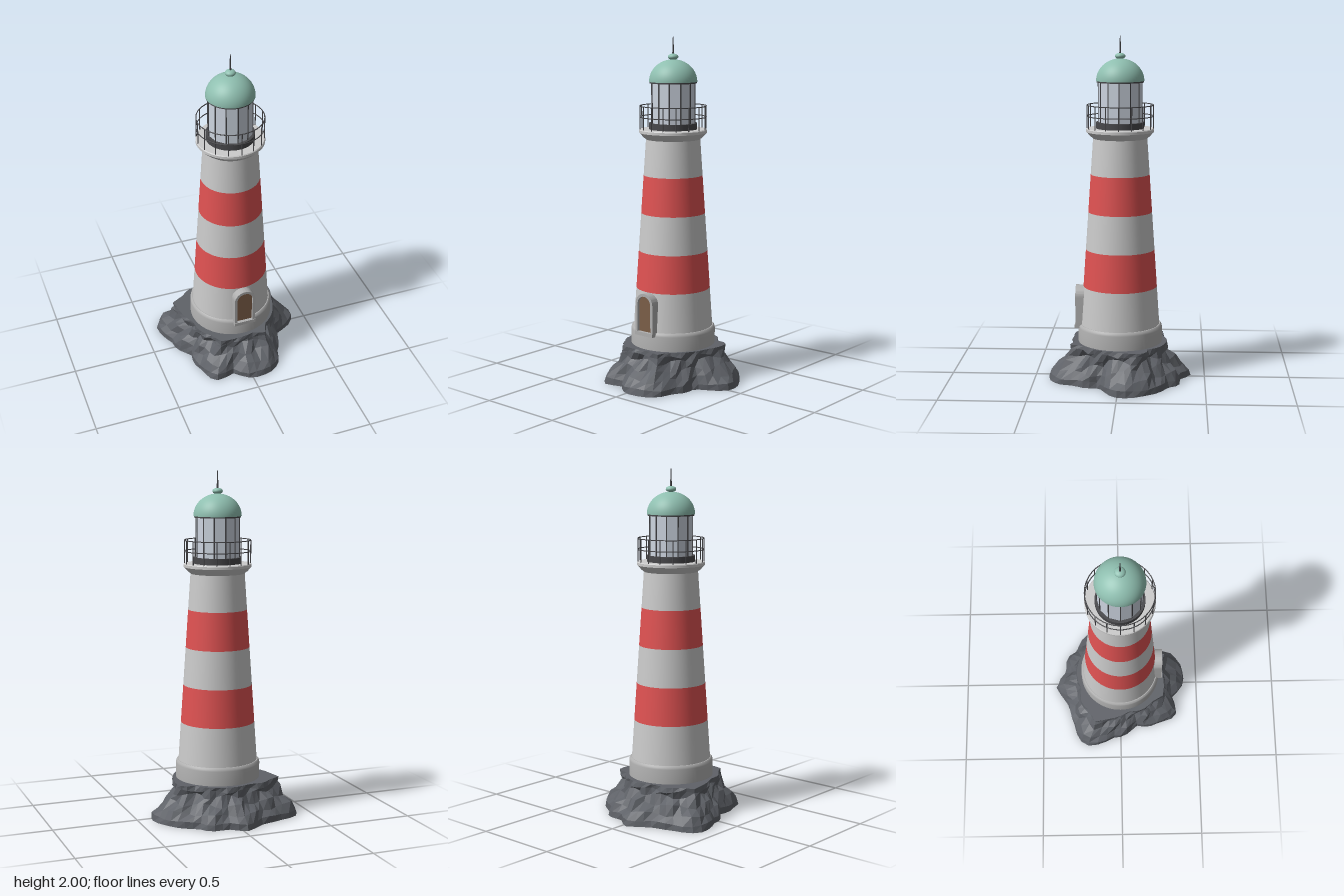
import * as THREE from 'three';
import { toCreasedNormals } from 'three/addons/utils/BufferGeometryUtils.js';

const mat = (color, extra = {}) => new THREE.MeshStandardMaterial({ color, ...extra });
const stone = mat(0xcccccc);
const plinthGrey = mat(0xb0b0b0);
const red = mat(0xe05252);
const iron = mat(0x48484b);
const glass = mat(0xcdd5e0, { flatShading: true });
const copper = mat(0x8fbfb0);
const wood = mat(0x7d5f49);
const rock = mat(0x5f6268, { flatShading: true, side: THREE.DoubleSide });

// Rock outlines seen from above, as x, z corners
const baseOutline = [
  [0.41, 0.02], [0.33, 0.07], [0.27, 0.1], [0.25, 0.13], [0.255, 0.19], [0.21, 0.26], [0.19, 0.35],
  [0.13, 0.4], [0.03, 0.42], [-0.02, 0.41], [-0.1, 0.34], [-0.21, 0.365], [-0.26, 0.32], [-0.265, 0.26],
  [-0.3, 0.18], [-0.29, 0.1], [-0.36, 0.02], [-0.37, -0.05], [-0.41, -0.13], [-0.42, -0.22], [-0.38, -0.27],
  [-0.28, -0.3], [-0.16, -0.33], [-0.1, -0.37], [-0.02, -0.42], [0.07, -0.35], [0.18, -0.35], [0.22, -0.29],
  [0.27, -0.26], [0.32, -0.23], [0.37, -0.16], [0.41, -0.09], [0.42, -0.04],
];
const topOutline = [
  [0.27, 0.01], [0.25, 0.09], [0.2, 0.17], [0.14, 0.22], [0.13, 0.29], [0.05, 0.265], [-0.05, 0.28],
  [-0.17, 0.27], [-0.18, 0.22], [-0.25, 0.14], [-0.26, 0.05], [-0.28, 0.02], [-0.31, -0.1], [-0.33, -0.16],
  [-0.25, -0.2], [-0.2, -0.25], [-0.1, -0.25], [0, -0.28], [0.1, -0.26], [0.16, -0.23], [0.2, -0.17],
  [0.28, -0.16], [0.295, -0.09],
];

// Radius of an outline in the direction of an angle
function radiusAt(outline, angle) {
  const turn = Math.PI * 2;
  for (let i = 0; i < outline.length; i++) {
    const [x0, z0] = outline[i];
    const [x1, z1] = outline[(i + 1) % outline.length];
    const a0 = Math.atan2(z0, x0);
    const span = (Math.atan2(z1, x1) - a0 + turn) % turn;
    const step = (angle - a0 + turn * 2) % turn;
    if (step <= span) {
      return THREE.MathUtils.lerp(Math.hypot(x0, z0), Math.hypot(x1, z1), step / span);
    }
  }
  return Math.hypot(...outline[0]);
}

// Craggy rock: rings blended from the base outline to the top one
function rockGeometry() {
  // height, share of base outline, scale, roughness
  const rings = [
    [0, 1, 0, 0], [0, 1, 1, 0], [0.035, 0.97, 0.995, 0.008], [0.075, 0.72, 0.98, 0.015],
    [0.12, 0.38, 0.96, 0.02], [0.165, 0.08, 0.95, 0.02], [0.195, 0, 1, 0.012], [0.22, 0, 0.99, 0], [0.22, 0, 0, 0],
  ];
  const n = 54;
  const positions = [];
  const index = [];
  rings.forEach(([y, share, scale, rough], k) => {
    for (let i = 0; i < n; i++) {
      const a = (i / n) * Math.PI * 2;
      const r = THREE.MathUtils.lerp(radiusAt(topOutline, a), radiusAt(baseOutline, a), share) * scale
        + rough * Math.sin(a * 13 + k * 2.3) * Math.cos(a * 5 - k);
      const dy = rough * 0.6 * Math.sin(a * 9 + k * 4);
      positions.push(r * Math.cos(a), y + dy, r * Math.sin(a));
      if (k < rings.length - 1) {
        const p = k * n + i;
        const q = k * n + ((i + 1) % n);
        index.push(p, p + n, q, q, p + n, q + n);
      }
    }
  });
  const g = new THREE.BufferGeometry();
  g.setAttribute('position', new THREE.Float32BufferAttribute(positions, 3));
  g.setIndex(index);
  g.computeVertexNormals();
  return g;
}

const lathe = (profile, segments = 64) => toCreasedNormals(
  new THREE.LatheGeometry(profile.map(([r, y]) => new THREE.Vector2(r, y)), segments), 0.6);

// Upright rectangle with a round head
function archPath(path, halfWidth, bottom, top) {
  path.moveTo(-halfWidth, bottom);
  path.lineTo(halfWidth, bottom);
  path.lineTo(halfWidth, top - halfWidth);
  path.absarc(0, top - halfWidth, halfWidth, 0, Math.PI, false);
  path.closePath();
  return path;
}

export function createModel() {
  const model = new THREE.Group();
  const add = (name, geometry, material, x = 0, y = 0, z = 0, parent = model) => {
    const mesh = new THREE.Mesh(geometry, material);
    mesh.name = name;
    mesh.position.set(x, y, z);
    parent.add(mesh);
    return mesh;
  };

  add('rock', rockGeometry(), rock);
  add('plinth', lathe([[0, 0.2], [0.246, 0.2], [0.246, 0.305], [0.243, 0.317], [0.235, 0.325], [0, 0.325]]), plinthGrey);

  // Tapering tower in five alternating bands
  const towerRadius = (y) => 0.23 - (y - 0.33) * 0.068;
  for (let i = 0; i < 5; i++) {
    const y0 = i ? 0.33 + i * 0.22 : 0.32;
    const y1 = 0.55 + i * 0.22;
    add(i % 2 ? 'redBand' : 'whiteBand',
      new THREE.CylinderGeometry(towerRadius(y1), towerRadius(y0), y1 - y0, 64, 1, true),
      i % 2 ? red : stone, 0, (y0 + y1) / 2);
  }

  // Doorway
  const door = new THREE.Group();
  door.name = 'doorway';
  model.add(door);
  const frame = archPath(new THREE.Shape(), 0.064, 0.31, 0.55);
  frame.holes.push(archPath(new THREE.Path(), 0.048, 0.325, 0.534));
  const extrude = (shape, depth) => toCreasedNormals(
    new THREE.ExtrudeGeometry(shape, { depth, bevelEnabled: false, curveSegments: 20 }), 0.6);
  add('doorFrame', extrude(frame, 0.08), plinthGrey, 0, 0, 0.18, door);
  add('doorPanel', extrude(archPath(new THREE.Shape(), 0.05, 0.32, 0.536), 0.06), wood, 0, 0, 0.185, door);
  add('doorStep', new THREE.BoxGeometry(0.13, 0.022, 0.07), plinthGrey, 0, 0.314, 0.229, door);

  // Gallery deck
  add('galleryDeck', lathe([[0.154, 1.415], [0.16, 1.422], [0.172, 1.43], [0.186, 1.447], [0.195, 1.455],
    [0.195, 1.47], [0.191, 1.475], [0, 1.475]]), stone);

  // Railing
  const railing = new THREE.Group();
  railing.name = 'railing';
  model.add(railing);
  for (const y of [1.545, 1.608]) {
    const rail = add('rail', new THREE.TorusGeometry(0.19, 0.003, 6, 64), iron, 0, y, 0, railing);
    rail.rotation.x = Math.PI / 2;
  }
  for (let i = 0; i < 16; i++) {
    const a = (i / 16) * Math.PI * 2;
    add('railPost', new THREE.CylinderGeometry(0.003, 0.003, 0.137, 6), iron,
      0.19 * Math.sin(a), 1.54, 0.19 * Math.cos(a), railing);
  }

  // Lantern room
  add('lanternBase', new THREE.CylinderGeometry(0.138, 0.138, 0.037, 48), iron, 0, 1.492);
  add('lanternGlass', new THREE.CylinderGeometry(0.125, 0.125, 0.235, 12), glass, 0, 1.627);
  for (let i = 0; i < 12; i++) {
    const a = (i / 12) * Math.PI * 2;
    const bar = add('glazingBar', new THREE.BoxGeometry(0.006, 0.235, 0.006), iron,
      0.125 * Math.sin(a), 1.627, 0.125 * Math.cos(a));
    bar.rotation.y = a;
  }
  add('lanternCeiling', new THREE.CylinderGeometry(0.135, 0.135, 0.008, 48), iron, 0, 1.741);

  // Dome and finial
  const dome = add('dome', new THREE.SphereGeometry(0.138, 48, 16, 0, Math.PI * 2, 0, Math.PI / 2), copper, 0, 1.745);
  dome.scale.y = 0.92;
  const ball = add('finialBall', new THREE.SphereGeometry(0.03, 24, 14), copper, 0, 1.886);
  ball.scale.y = 0.6;
  add('spike', new THREE.CylinderGeometry(0.002, 0.006, 0.11, 10), iron, 0, 1.945);

  return model;
}
